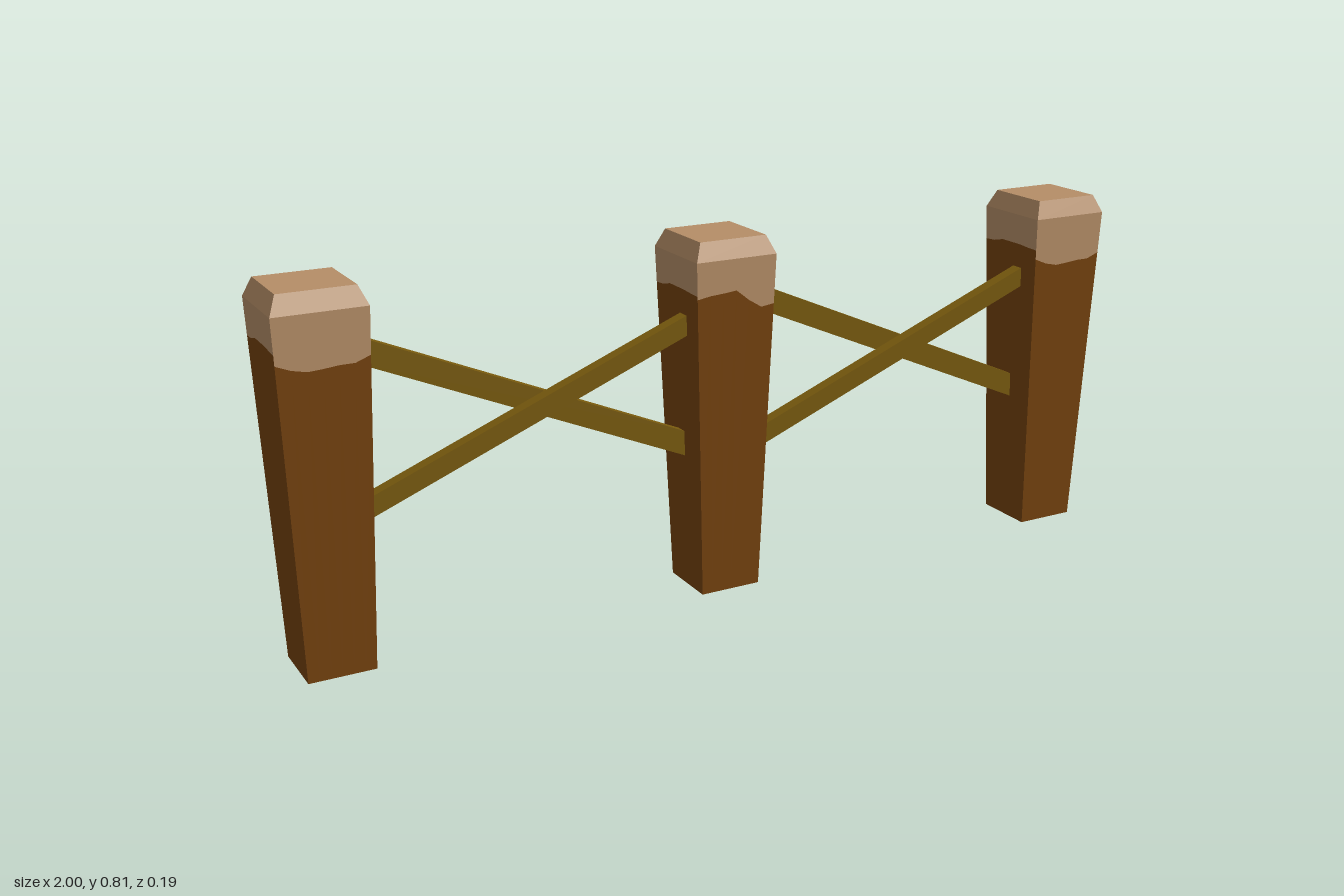
import * as THREE from 'three';

const HEIGHT = 0.81, SHOULDER = 0.77, FOOT = 0.072, WIDE = 0.097, TOP = 0.08;
const SPACING = 0.903;

// Half width of a post at height y
const half = (y) => y <= SHOULDER
  ? FOOT + (WIDE - FOOT) * (y / SHOULDER)
  : WIDE + (TOP - WIDE) * ((y - SHOULDER) / (HEIGHT - SHOULDER));

// Lower edge of the pale tip, left to right across a face
const SIDE_EDGE = [0.69, 0.692, 0.7, 0.7, 0.7, 0.698, 0.697];
const END_EDGE = [0.675, 0.662, 0.655, 0.657, 0.66, 0.66, 0.672];
const MID_EDGE = [0.69, 0.695, 0.697, 0.7, 0.675, 0.656, 0.66];

// Four tapered walls between two height rules lower(side, i) and upper(side, i)
function walls(lower, upper, withTop) {
  const pos = [];
  const n = SIDE_EDGE.length - 1;
  const axis = new THREE.Vector3(0, 1, 0);
  const point = (side, i, y) => {
    const h = half(y);
    return new THREE.Vector3((i / n * 2 - 1) * h, y, h).applyAxisAngle(axis, side * Math.PI / 2);
  };
  const quad = (a, b, c, d) => [a, b, c, a, c, d].forEach((p) => pos.push(p.x, p.y, p.z));
  for (let s = 0; s < 4; s++) {
    for (let i = 0; i < n; i++) {
      quad(point(s, i, lower(s, i)), point(s, i + 1, lower(s, i + 1)),
        point(s, i + 1, upper(s, i + 1)), point(s, i, upper(s, i)));
    }
    // bevelled shoulder
    if (withTop) quad(point(s, 0, SHOULDER), point(s, n, SHOULDER), point(s, n, HEIGHT), point(s, 0, HEIGHT));
  }
  if (withTop) quad(...[0, 1, 2, 3].map((s) => point(s, 0, HEIGHT)));
  const geo = new THREE.BufferGeometry();
  geo.setAttribute('position', new THREE.Float32BufferAttribute(pos, 3));
  geo.computeVertexNormals();
  return geo;
}

export function createModel() {
  const model = new THREE.Group();
  model.name = 'fence';
  const material = (name, color) => {
    const m = new THREE.MeshStandardMaterial({ color });
    m.name = name;
    return m;
  };
  const bark = material('brown bark', 0x74420e);
  bark.side = THREE.DoubleSide; // posts are hollow and open underneath
  const pale = material('pale cut wood', 0xb58e67);
  pale.side = THREE.DoubleSide;
  const olive = material('olive rail wood', 0x77590d);

  const add = (parent, name, geo, mat) => {
    const mesh = new THREE.Mesh(geo, mat);
    mesh.name = name;
    parent.add(mesh);
    return mesh;
  };

  // Posts: bark below, pale bevelled tip above
  [['rightPost', -1], ['middlePost', 0], ['leftPost', 1]].forEach(([name, k]) => {
    const post = new THREE.Group();
    post.name = name;
    post.position.x = k * SPACING;
    const edge = (s, i) => (s % 2 ? SIDE_EDGE : k === 0 ? MID_EDGE : END_EDGE)[i];
    add(post, 'postBark', walls(() => 0, edge, false), bark);
    add(post, 'postTip', walls(edge, () => SHOULDER, true), pale);
    model.add(post);
  });

  // Crossed rails, one pair per bay, ends buried in the posts
  const rail = (name, x0, y0, x1, y1, thick, z, depth) => {
    const mesh = add(model, name,
      new THREE.BoxGeometry(Math.hypot(x1 - x0, y1 - y0), thick, depth), olive);
    mesh.position.set((x0 + x1) / 2, (y0 + y1) / 2, z);
    mesh.rotation.z = Math.atan2(y1 - y0, x1 - x0);
  };
  [['rightBay', -SPACING], ['leftBay', 0]].forEach(([bay, x]) => {
    rail(bay + 'FallingRail', x + 0.07, 0.67, x + 0.84, 0.335, 0.052, -0.002, 0.026);
    rail(bay + 'RisingRail', x + 0.07, 0.33, x + 0.84, 0.633, 0.042, 0.026, 0.03);
  });
  return model;
}
